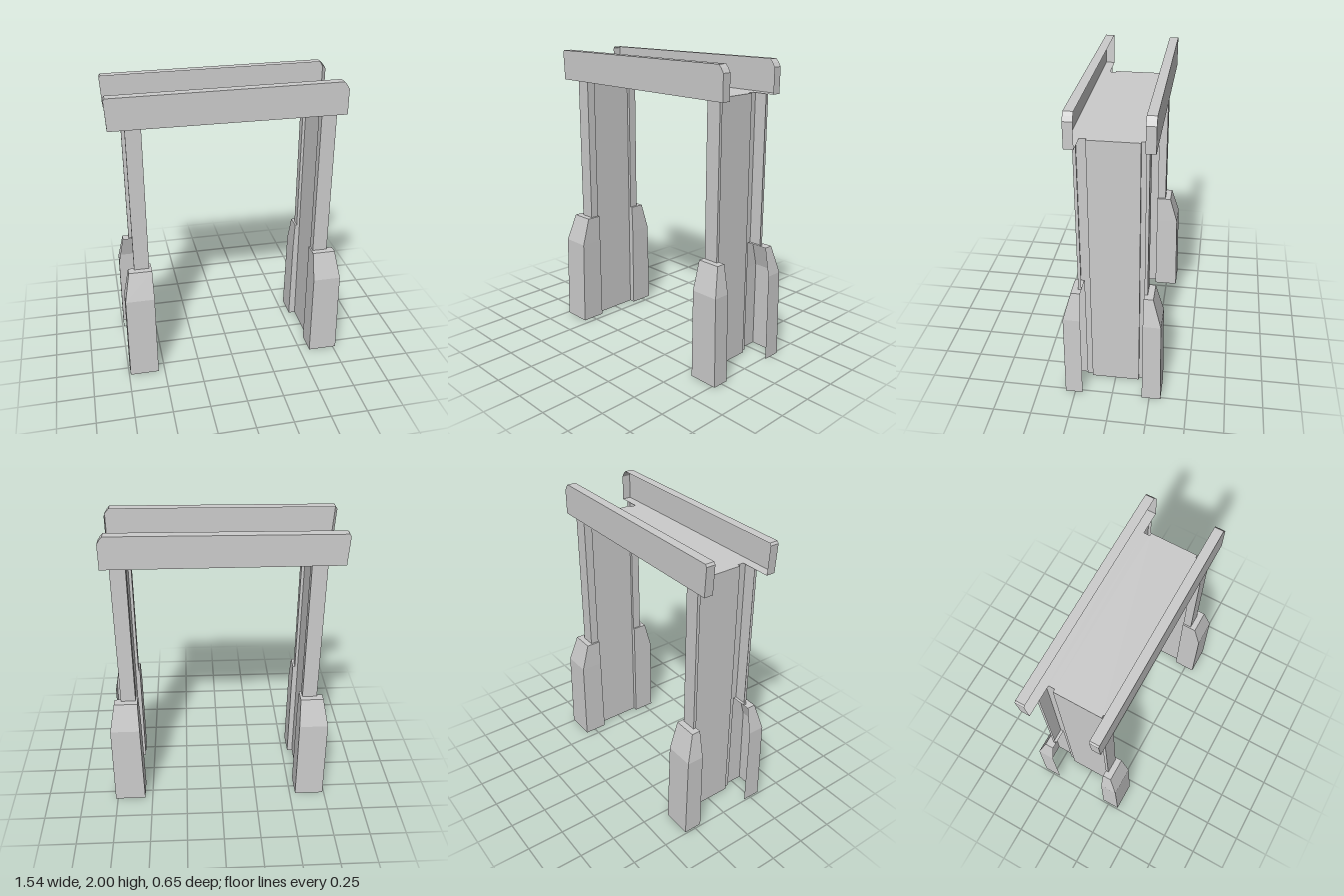
import * as THREE from 'three';

const material = new THREE.MeshStandardMaterial({ color: 0xcccccc, flatShading: true, side: THREE.DoubleSide });

// Open sheet through rows of [x, y, z] points
function sheet(rows) {
  const pos = [];
  for (let r = 0; r < rows.length - 1; r++) {
    for (let i = 0; i < rows[r].length - 1; i++) {
      const a = rows[r][i], b = rows[r][i + 1], c = rows[r + 1][i + 1], d = rows[r + 1][i];
      pos.push(...a, ...b, ...c, ...a, ...c, ...d);
    }
  }
  const g = new THREE.BufferGeometry();
  g.setAttribute('position', new THREE.Float32BufferAttribute(pos, 3));
  g.computeVertexNormals();
  return g;
}

// Plan path of [x, z] points raised from y0 to y1
const upright = (path, y0, y1) => sheet([y0, y1].map(y => path.map(([x, z]) => [x, y, z])));

// Horizontal rectangle
const flat = (x0, x1, z0, z1, y) => sheet([[[x0, y, z1], [x1, y, z1]], [[x0, y, z0], [x1, y, z0]]]);

export function createModel() {
  const group = new THREE.Group();
  const add = (geometry, name, parent = group) => {
    const m = new THREE.Mesh(geometry, material);
    m.name = name;
    parent.add(m);
  };
  const TOP = 1.787, CAP = 0.79;

  // Side walls with a shallow step near each pillar
  const wall = (xw, xs) => upright(
    [[xs, 0.2], [xs, 0.16], [xw, 0.16], [xw, -0.16], [xs, -0.16], [xs, -0.2]], 0, TOP);
  add(wall(0.6, 0.58), 'leftWall');
  add(wall(-0.58, -0.56), 'rightWall');

  // Deck, notched at its corners
  const deck = new THREE.Group();
  deck.name = 'deck';
  group.add(deck);
  add(flat(-0.58, 0.6, -0.16, 0.16, TOP), 'deckMiddle', deck);
  for (const s of [1, -1]) add(flat(-0.56, 0.58, s > 0 ? 0.16 : -0.2, s > 0 ? 0.2 : -0.16, TOP), 'deckEdge', deck);

  // Pillars and flared hollow bases: inner x, pillar outer x, [outer x, inner x, depth] at each level
  const corners = [
    { name: 'frontLeft', s: 1, xi: 0.58, xo: 0.68, base: [[0.77, 0.57, 0.315], [0.76, 0.57, 0.312], [0.725, 0.57, 0.26]] },
    { name: 'backLeft', s: -1, xi: 0.58, xo: 0.68, base: [[0.765, 0.553, 0.325], [0.76, 0.56, 0.315], [0.725, 0.567, 0.26]] },
    { name: 'frontRight', s: 1, xi: -0.56, xo: -0.66, base: [[-0.74, -0.543, 0.327], [-0.737, -0.543, 0.315], [-0.7, -0.545, 0.26]] },
    { name: 'backRight', s: -1, xi: -0.56, xo: -0.66, base: [[-0.74, -0.54, 0.327], [-0.737, -0.54, 0.315], [-0.7, -0.545, 0.26]] },
  ];
  const levels = [0, 0.6, CAP];
  for (const { name, s, xi, xo, base } of corners) {
    add(upright([[xi, 0.16 * s], [xi, 0.22 * s], [xo, 0.22 * s], [xo, 0.2 * s]], CAP, TOP), name + 'Pillar');

    const foot = new THREE.Group();
    foot.name = name + 'Base';
    group.add(foot);
    add(sheet(base.map(([o, i, z], k) => [
      [o, levels[k], 0.2 * s], [o, levels[k], z * s], [i, levels[k], z * s],
      [i, levels[k], 0.16 * s], [xi, levels[k], 0.16 * s],
    ])), 'baseShell', foot);
    const [o, i, z] = base[2];
    add(flat(o, i, 0.2 * s, z * s, CAP), 'baseCap', foot);
    add(flat(xi, i, 0.16 * s, 0.2 * s, CAP), 'baseCapLip', foot);
  }

  // Parapet beams, hollow towards the middle
  const outline = [[-0.765, TOP], [0.735, TOP], [0.735, 1.952], [0.718, 1.98], [0.7, 2], [0.68, 2], [-0.765, 1.99], [-0.775, 1.975]];
  for (const s of [1, -1]) {
    const beam = new THREE.Group();
    beam.name = s > 0 ? 'frontBeam' : 'backBeam';
    group.add(beam);
    const face = new THREE.ShapeGeometry(new THREE.Shape(outline.map(([x, y]) => new THREE.Vector2(x, y))));
    if (s < 0) face.rotateY(Math.PI).scale(1, 1, 1);
    // The rotated face is brought back to the same x by reversing its outline
    const front = s > 0 ? face : new THREE.ShapeGeometry(
      new THREE.Shape(outline.map(([x, y]) => new THREE.Vector2(-x, y)).reverse())).rotateY(Math.PI);
    front.translate(0, 0, 0.26 * s);
    add(front, 'beamFace', beam);
    const loop = [...outline, outline[0]];
    if (s < 0) loop.reverse();
    add(sheet([0.26, 0.2].map(z => loop.map(([x, y]) => [x, y, z * s]))), 'beamRim', beam);
  }
  return group;
}
